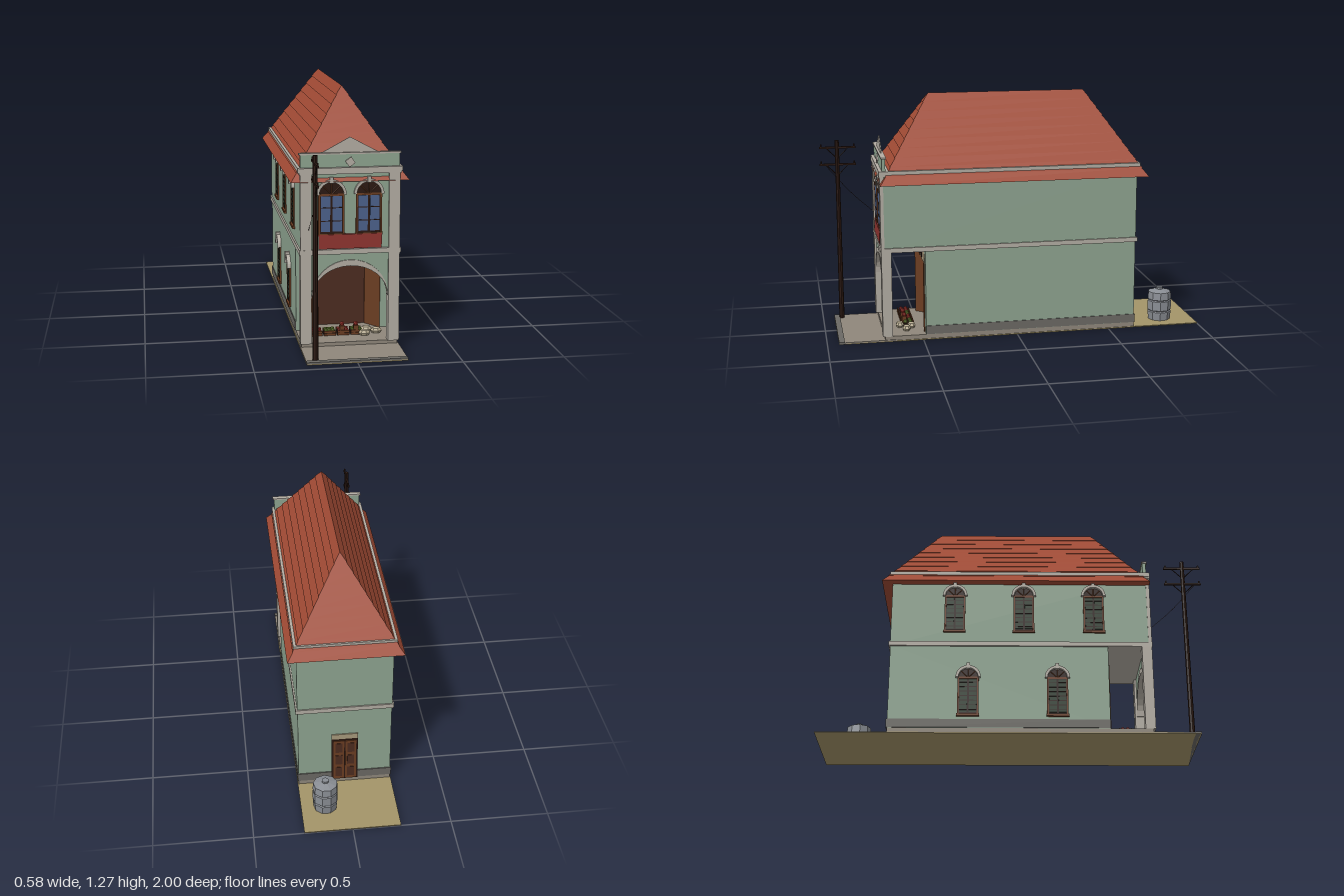
import * as THREE from 'three';

const COLORS = {
  wall: 0x8ea490, trim: 0xb3ada3, plinth: 0x6b6964, roof: 0xa04a34, dark: 0x2c1912, wood: 0x6b3d22,
  shop: 0x4c2c20, glass: 0x4c628c, red: 0x8f3430, shutter: 0x2f3f30, sand: 0xa39469, paving: 0x8f877b,
  tan: 0xa89a7c, steel: 0x8a8e94, sack: 0xb9ad92, green: 0x6f8a35, fruit: 0xa8322a,
};
const mats = {};
for (const k in COLORS) {
  mats[k] = new THREE.MeshStandardMaterial({ color: COLORS[k], flatShading: true, side: THREE.DoubleSide });
}

function add(parent, name, geo, mat) {
  const m = new THREE.Mesh(geo, mats[mat]);
  m.name = name;
  parent.add(m);
  return m;
}

// Box given by its limits on each axis
function box(parent, name, mat, [x0, x1], [y0, y1], [z0, z1]) {
  const m = add(parent, name, new THREE.BoxGeometry(x1 - x0, y1 - y0, z1 - z0), mat);
  m.position.set((x0 + x1) / 2, (y0 + y1) / 2, (z0 + z1) / 2);
  return m;
}

function extrude(parent, name, mat, shape, depth, z = 0) {
  const m = add(parent, name, new THREE.ExtrudeGeometry(shape, { depth, bevelEnabled: false, curveSegments: 8 }), mat);
  m.position.z = z;
  return m;
}

function rod(parent, name, mat, pts, r, sides = 4) {
  const curve = new THREE.CatmullRomCurve3(pts.map((p) => new THREE.Vector3(...p)));
  return add(parent, name, new THREE.TubeGeometry(curve, pts.length > 2 ? 10 : 1, r, sides), mat);
}

// One tile course: a box tapered between two roof levels
function roofCourse(parent, t0, t1) {
  const geo = new THREE.BoxGeometry(1, 1, 1);
  const p = geo.attributes.position;
  for (let i = 0; i < p.count; i++) {
    const top = p.getY(i) > 0;
    const t = top ? t1 : t0;
    const lip = top ? 0 : 0.004;
    const z = p.getZ(i) > 0 ? 0.71 - 0.28 * t + lip : -0.69 + 0.29 * t - lip;
    p.setXYZ(i, Math.sign(p.getX(i)) * (0.286 * (1 - t) + lip), 0.836 + 0.432 * t, z);
  }
  geo.computeVertexNormals();
  add(parent, 'roofCourse', geo, 'roof');
}

// Arched window facing +z, with its sill at the local origin
function archedWindow(w, h, pane, depth) {
  const g = new THREE.Group();
  const r = w / 2;
  const opening = new THREE.Shape();
  opening.moveTo(-r, 0).lineTo(r, 0).lineTo(r, h).absarc(0, h, r, 0, Math.PI).lineTo(-r, 0);
  extrude(g, 'windowRecess', 'dark', opening, 0.004);
  // paired leaves with rails or louvres
  for (const s of [-1, 1]) {
    const cx = s * r * 0.48;
    const hw = r * 0.38;
    box(g, 'windowLeaf', pane, [cx - hw, cx + hw], [0.012, h - 0.008], [0.003, 0.007]);
    const rows = pane === 'glass' ? 3 : 8;
    for (let i = 1; i < rows; i++) {
      const y = (h * i) / rows;
      box(g, 'windowRail', 'dark', [cx - hw, cx + hw], [y - 0.002, y + 0.002], [0.006, 0.009]);
    }
    box(g, 'windowJamb', 'wood', [s * r - 0.004, s * r + 0.004], [0, h], [0, 0.009]);
  }
  // fanlight spokes
  for (let i = 1; i < 4; i++) {
    const a = (Math.PI * i) / 4;
    rod(g, 'fanlightBar', 'wood', [[0, h, 0.006], [r * Math.cos(a), h + r * Math.sin(a), 0.006]], 0.002);
  }
  box(g, 'windowTransom', 'wood', [-r, r], [h - 0.006, h + 0.004], [0, 0.009]);
  // arch hood, keystone and sill
  const hood = new THREE.Shape();
  hood.absarc(0, h, r + 0.014, 0, Math.PI).absarc(0, h, r, Math.PI, 0, true);
  extrude(g, 'windowHood', 'trim', hood, depth);
  box(g, 'keystone', 'trim', [-0.009, 0.009], [h + r - 0.004, h + r + 0.026], [0, depth + 0.004]);
  box(g, 'windowSill', 'wood', [-r - 0.008, r + 0.008], [-0.01, 0.002], [0, depth * 0.7]);
  return g;
}

function buildGround(g) {
  box(g, 'yard', 'sand', [-0.245, 0.245], [0, 0.005], [-1, 0.94]);
  box(g, 'pavement', 'paving', [-0.245, 0.245], [0.004, 0.01], [0.64, 0.91]);
  box(g, 'kerb', 'plinth', [-0.245, 0.245], [0, 0.013], [0.91, 0.94]);
  box(g, 'floorSlab', 'paving', [-0.24, 0.24], [0.005, 0.028], [-0.64, 0.7]);
}

function buildWalls(g) {
  // ground floor plan with a splayed shop entrance
  const plan = new THREE.Shape();
  plan.moveTo(-0.24, 0.64).lineTo(0.24, 0.64).lineTo(0.24, -0.485).lineTo(0.19, -0.485).lineTo(0.125, -0.4);
  plan.lineTo(-0.115, -0.4).lineTo(-0.185, -0.485).lineTo(-0.24, -0.485).closePath();
  const lower = extrude(g, 'groundFloorWalls', 'wall', plan, 0.457);
  lower.rotation.x = -Math.PI / 2;
  lower.position.y = 0.028;
  box(g, 'shopBackPanel', 'shop', [-0.12, 0.13], [0.028, 0.4], [0.398, 0.404]);
  for (const [x0, x1] of [[-0.185, -0.115], [0.19, 0.125]]) {
    const leaf = new THREE.Shape();
    leaf.moveTo(x0, -0.487).lineTo(x1, -0.402).lineTo(x1, -0.408).lineTo(x0, -0.493).closePath();
    const m = extrude(g, 'shopDoorLeaf', 'wood', leaf, 0.372);
    m.rotation.x = -Math.PI / 2;
    m.position.y = 0.028;
  }
  box(g, 'shopLintel', 'tan', [-0.19, 0.195], [0.4, 0.48], [0.39, 0.487]);
  for (let i = 0; i < 5; i++) {
    box(g, 'lintelBracket', 'dark', [-0.102 + i * 0.05, -0.098 + i * 0.05], [0.41, 0.45], [0.485, 0.492]);
  }
  for (const s of [-1, 1]) {
    box(g, 'sidePlinth', 'plinth', [s * 0.243 - 0.002, s * 0.243 + 0.002], [0.03, 0.075], [-0.644, 0.485]);
  }
  box(g, 'rearPlinth', 'plinth', [-0.245, 0.245], [0.03, 0.075], [-0.645, -0.637]);
  box(g, 'upperFloorWalls', 'wall', [-0.242, 0.242], [0.48, 0.88], [-0.641, 0.7]);
  box(g, 'beltCourse', 'trim', [-0.25, 0.25], [0.478, 0.502], [-0.648, 0.714]);
  box(g, 'cornice', 'trim', [-0.256, 0.256], [0.882, 0.905], [-0.655, 0.712]);
}

function buildFacade(g) {
  for (const s of [-1, 1]) {
    const lim = (a, b) => (s > 0 ? [a, b] : [-b, -a]);
    box(g, 'porchPier', 'trim', lim(0.19, 0.245), [0.028, 0.48], [0.66, 0.712]);
    box(g, 'upperPilaster', 'trim', lim(0.19, 0.245), [0.5, 0.88], [0.695, 0.713]);
    const win = archedWindow(0.12, 0.195, 'glass', 0.012);
    win.name = 'frontWindow';
    win.position.set(s * 0.092, 0.578, 0.7);
    g.add(win);
  }
  // arched screen between the piers, and its moulding
  const screen = new THREE.Shape();
  screen.moveTo(-0.192, 0.26).lineTo(-0.192, 0.48).lineTo(0.192, 0.48).lineTo(0.192, 0.26).lineTo(0.19, 0.26);
  screen.absellipse(0, 0.26, 0.19, 0.175, 0, Math.PI, false);
  extrude(g, 'archScreen', 'wall', screen, 0.03, 0.672);
  const mould = new THREE.Shape();
  mould.absellipse(0, 0.26, 0.19, 0.187, 0, Math.PI, false);
  mould.absellipse(0, 0.26, 0.188, 0.157, Math.PI, 0, true);
  extrude(g, 'archMoulding', 'trim', mould, 0.038, 0.67);
  box(g, 'windowApron', 'red', [-0.155, 0.155], [0.505, 0.576], [0.69, 0.712]);
  box(g, 'frontCornice', 'trim', [-0.25, 0.25], [0.874, 0.905], [0.665, 0.717]);
  box(g, 'parapet', 'wall', [-0.243, 0.243], [0.9, 0.97], [0.682, 0.7]);
  box(g, 'parapetCap', 'trim', [-0.25, 0.25], [0.968, 0.976], [0.678, 0.706]);
  const tri = new THREE.Shape();
  tri.moveTo(-0.145, 0.972).lineTo(0.145, 0.972).lineTo(0, 1.05).closePath();
  extrude(g, 'pediment', 'trim', tri, 0.006, 0.688);
  const boss = box(g, 'parapetBoss', 'trim', [-0.018, 0.018], [0.912, 0.948], [0.695, 0.708]);
  boss.rotation.z = 0.6;
}

function buildSideAndRear(g) {
  const spots = [[-0.31, 0.565], [0.05, 0.565], [0.415, 0.565], [-0.235, 0.1], [0.22, 0.1]];
  for (const [z, y] of spots) {
    const win = archedWindow(0.1, 0.2, 'shutter', 0.02);
    win.name = 'sideWindow';
    win.rotation.y = -Math.PI / 2;
    win.position.set(-0.24, y, z);
    g.add(win);
  }
  box(g, 'rearDoorFrame', 'dark', [-0.068, 0.068], [0.028, 0.295], [-0.646, -0.64]);
  for (const s of [-1, 1]) {
    box(g, 'rearDoorLeaf', 'wood', [s * 0.031 - 0.028, s * 0.031 + 0.028], [0.032, 0.285], [-0.651, -0.645]);
    for (let i = 0; i < 3; i++) {
      box(g, 'rearDoorPanel', 'shop', [s * 0.031 - 0.018, s * 0.031 + 0.018],
        [0.05 + i * 0.08, 0.11 + i * 0.08], [-0.653, -0.65]);
    }
  }
  box(g, 'rearDoorLintel', 'tan', [-0.068, 0.068], [0.295, 0.325], [-0.646, -0.64]);
}

function buildTank(g) {
  const profile = [[0, 0.005], [0.06, 0.005], [0.065, 0.05], [0.06, 0.055], [0.065, 0.06], [0.065, 0.11],
    [0.06, 0.115], [0.065, 0.12], [0.062, 0.16], [0.018, 0.172], [0.018, 0.182], [0, 0.182]];
  const tank = add(g, 'waterTank', new THREE.LatheGeometry(profile.map((p) => new THREE.Vector2(...p)), 9), 'steel');
  tank.position.set(0.12, 0, -0.82);
}

function buildPole(g) {
  const pole = add(g, 'utilityPole', new THREE.CylinderGeometry(0.011, 0.014, 0.995, 8), 'dark');
  pole.position.set(-0.198, 0.5025, 0.9);
  for (const y of [0.96, 0.868]) {
    box(g, 'poleCrossarm', 'dark', [-0.203, -0.193], [y - 0.005, y + 0.005], [0.8, 0.995]);
    for (const z of [0.81, 0.985]) {
      rod(g, 'crossarmBrace', 'dark', [[-0.198, y - 0.06, 0.9], [-0.198, y, z < 0.9 ? 0.84 : 0.96]], 0.0025);
      const ins = add(g, 'insulator', new THREE.CylinderGeometry(0.004, 0.005, 0.016, 6), 'dark');
      ins.position.set(-0.198, y + 0.01, z);
    }
  }
  rod(g, 'serviceWire', 'dark', [[-0.198, 0.86, 0.96], [-0.2, 0.71, 0.83], [-0.205, 0.6, 0.712]], 0.0012, 3);
}

function buildGoods(g) {
  // slatted crates heaped with produce
  for (let i = 0; i < 4; i++) {
    const x = -0.15 + i * 0.068;
    for (const z of [0.535, 0.595]) {
      box(g, 'crateSlat', 'wood', [x - 0.03, x + 0.03], [0.03, 0.04], [z - 0.002, z + 0.002]);
      box(g, 'crateSlat', 'wood', [x - 0.03, x + 0.03], [0.044, 0.054], [z - 0.002, z + 0.002]);
    }
    box(g, 'crateBase', 'dark', [x - 0.03, x + 0.03], [0.028, 0.044], [0.537, 0.593]);
    for (let j = 0; j < 6; j++) {
      const f = add(g, 'produce', new THREE.IcosahedronGeometry(0.011, 0), i % 2 ? 'green' : 'fruit');
      f.position.set(x - 0.018 + (j % 3) * 0.018, 0.052, 0.552 + Math.floor(j / 3) * 0.025);
    }
  }
  for (const x of [-0.02, 0.05]) {
    const f = add(g, 'produce', new THREE.IcosahedronGeometry(0.013, 0), 'fruit');
    f.position.set(x, 0.085, 0.582);
    box(g, 'produceStand', 'wood', [x - 0.012, x + 0.012], [0.03, 0.076], [0.57, 0.594]);
  }
  for (const [x, z] of [[0.11, 0.55], [0.155, 0.58], [0.09, 0.61]]) {
    const s = add(g, 'sack', new THREE.SphereGeometry(0.028, 7, 4), 'sack');
    s.scale.set(1.1, 0.65, 0.8);
    s.position.set(x, 0.043, z);
  }
}

export function createModel() {
  const model = new THREE.Group();
  model.name = 'shophouse';
  const section = (name, build) => {
    const g = new THREE.Group();
    g.name = name;
    build(g);
    model.add(g);
  };
  section('ground', buildGround);
  section('walls', buildWalls);
  section('facade', buildFacade);
  section('sideAndRearOpenings', buildSideAndRear);
  section('roof', (g) => {
    for (let i = 0; i < 10; i++) roofCourse(g, i / 10, (i + 1) / 10);
  });
  section('tank', buildTank);
  section('pole', buildPole);
  section('shopGoods', buildGoods);
  // centre the ground plot lengthwise
  model.position.z = 0.03;
  const root = new THREE.Group();
  root.name = 'model';
  root.add(model);
  root.children[0].position.z = 0;
  return root;
}
